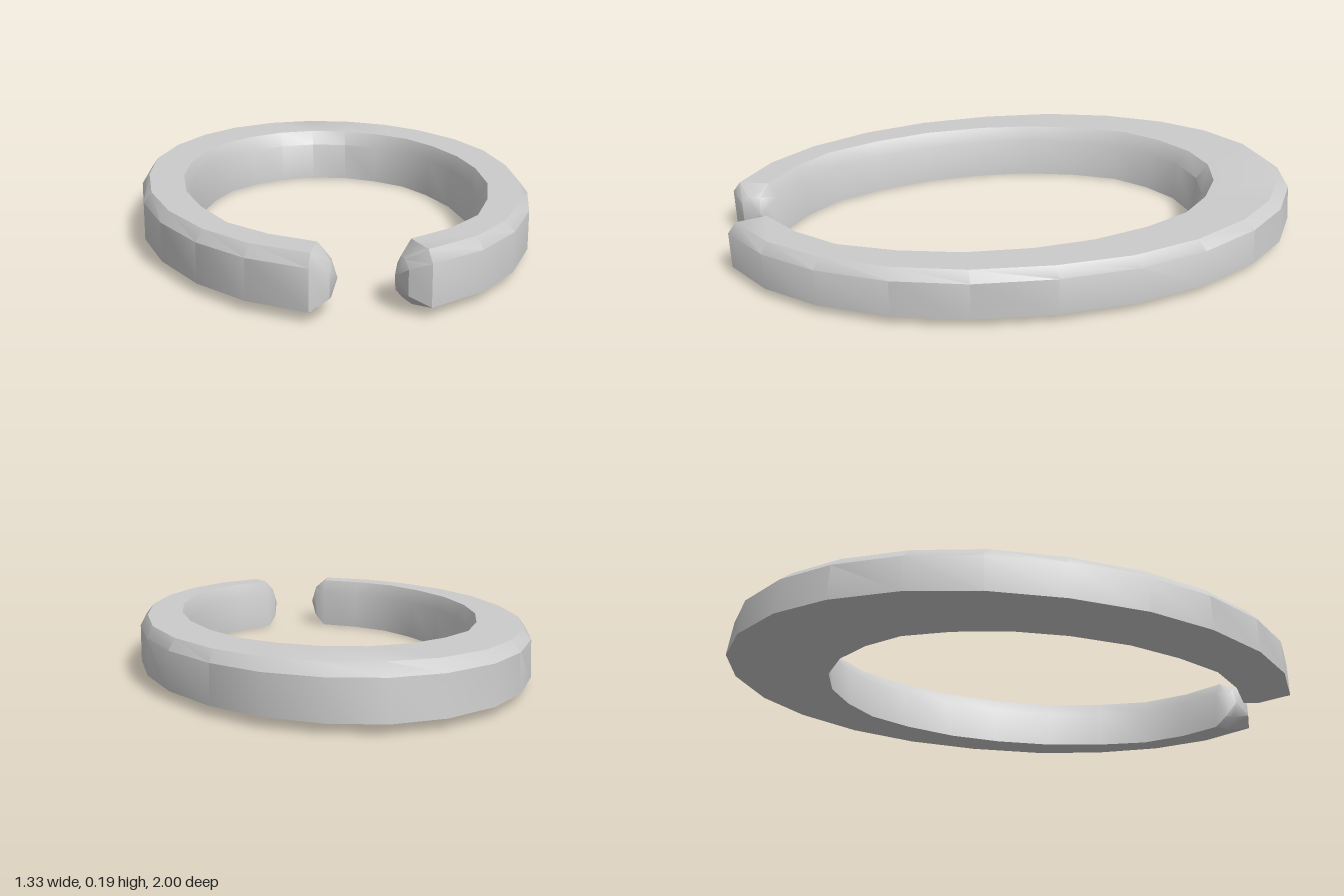
import * as THREE from 'three';
import { toCreasedNormals } from 'three/addons/utils/BufferGeometryUtils.js';

// Stations from the back centre to the front tip on the +x side:
// outer x, outer z, inner x, inner z
const STATIONS = [
  [0, -1, 0, -0.655], [0.17, -0.965, 0.13, -0.63], [0.34, -0.86, 0.245, -0.56],
  [0.47, -0.71, 0.345, -0.46], [0.58, -0.5, 0.415, -0.31], [0.645, -0.26, 0.465, -0.13],
  [0.665, 0, 0.48, 0.06], [0.645, 0.27, 0.465, 0.27], [0.58, 0.51, 0.415, 0.46],
  [0.47, 0.73, 0.345, 0.63], [0.335, 0.89, 0.24, 0.75], [0.168, 1, 0.12, 0.835],
];
const TIP = [0.108, 0.97, 0.09, 0.868]; // smaller ring that rounds the tip
const TIP_CENTRE = [0.08, 0.095, 0.91];

// Bevelled cross-section, from the outer bottom edge up, over and back underneath
function section([ox, oz, ix, iz], back, squash) {
  const w = Math.hypot(ox - ix, oz - iz);
  const bevel = 0.027 + 0.035 * back;
  const profile = [ // distance from the outer edge, height
    [0, 0.03], [0.015 * back, 0.155], [bevel, 0.19],
    [w - 0.04 - 0.015 * back, 0.19], [w - 0.012, 0.14], [w, 0], [w * 0.7, 0],
  ];
  return profile.map(([d, y]) => [
    ox + (ix - ox) * d / w, 0.095 + (y - 0.095) * squash, oz + (iz - oz) * d / w,
  ]);
}

function bandGeometry() {
  const half = STATIONS.map((s, k) => section(s, Math.max(0, 1 - k / 5), 1));
  half.push(section(TIP, 0, 0.6));
  const mirrored = half.slice(1).map(r => r.map(([x, y, z]) => [-x, y, z]));
  const rings = [...half.reverse(), ...mirrored];
  const n = rings[0].length, last = rings.length - 1;
  const positions = rings.flat(2);
  const [cx, cy, cz] = TIP_CENTRE;
  positions.push(cx, cy, cz, -cx, cy, cz);
  const start = rings.length * n, index = [];
  for (let j = 0; j < n; j++) {
    const k = (j + 1) % n;
    // skin between neighbouring rings
    for (let i = 0; i < last; i++) {
      const a = i * n + j, b = i * n + k;
      index.push(a, a + n, b, b, a + n, b + n);
    }
    // tip caps
    index.push(j, k, start, last * n + k, last * n + j, start + 1);
  }
  const geometry = new THREE.BufferGeometry();
  geometry.setAttribute('position', new THREE.Float32BufferAttribute(positions, 3));
  geometry.setIndex(index);
  return toCreasedNormals(geometry, 0.65);
}

export function createModel() {
  const group = new THREE.Group();
  group.name = 'openRing';
  const band = new THREE.Mesh(bandGeometry(), new THREE.MeshStandardMaterial({ color: 0xcccccc }));
  band.name = 'band';
  group.add(band);
  return group;
}
